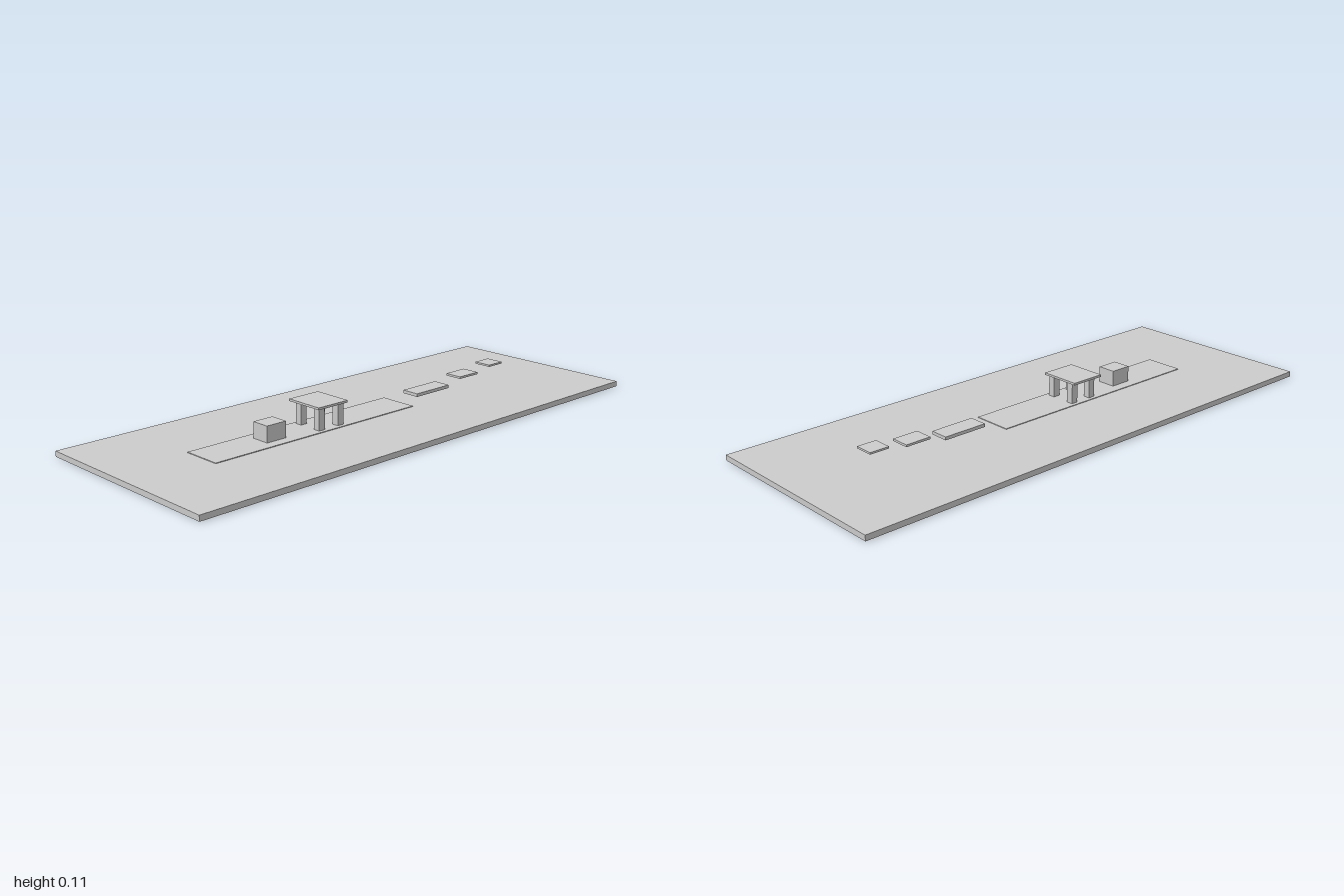
import * as THREE from 'three';

const material = new THREE.MeshStandardMaterial({ color: 0xcccccc, flatShading: true });

// Box given by its extents on each axis
function block(name, [x0, x1], [y0, y1], [z0, z1]) {
  const mesh = new THREE.Mesh(new THREE.BoxGeometry(x1 - x0, y1 - y0, z1 - z0), material);
  mesh.position.set((x0 + x1) / 2, (y0 + y1) / 2, (z0 + z1) / 2);
  mesh.name = name;
  return mesh;
}

export function createModel() {
  const model = new THREE.Group();
  model.name = 'platformCourse';

  // Ground slab and the thin strip lying on it
  model.add(block('ground', [-0.385, 0.385], [0, 0.02], [-1, 1]));
  model.add(block('path', [-0.075, 0.073], [0.019, 0.0225], [-0.188, 0.703]));

  // Solid cube in front of the table
  model.add(block('cube', [-0.036, 0.034], [0.02, 0.081], [0.379, 0.461]));

  // Table with four square legs
  const table = new THREE.Group();
  table.name = 'table';
  table.add(block('tableTop', [-0.083, 0.069], [0.101, 0.109], [0.131, 0.264]));
  for (const x of [-0.048, 0.045]) {
    for (const z of [0.154, 0.24]) {
      table.add(block('tableLeg', [x - 0.013, x + 0.013], [0.02, 0.101], [z - 0.013, z + 0.013]));
    }
  }
  model.add(table);

  // Floating platforms, rising and shrinking toward the back
  const platforms = [
    [[0.035, 0.047], [-0.422, -0.25]],
    [[0.058, 0.066], [-0.584, -0.485]],
    [[0.074, 0.081], [-0.726, -0.652]],
  ];
  for (const [y, z] of platforms) model.add(block('floatingPlatform', [-0.036, 0.034], y, z));

  return model;
}
